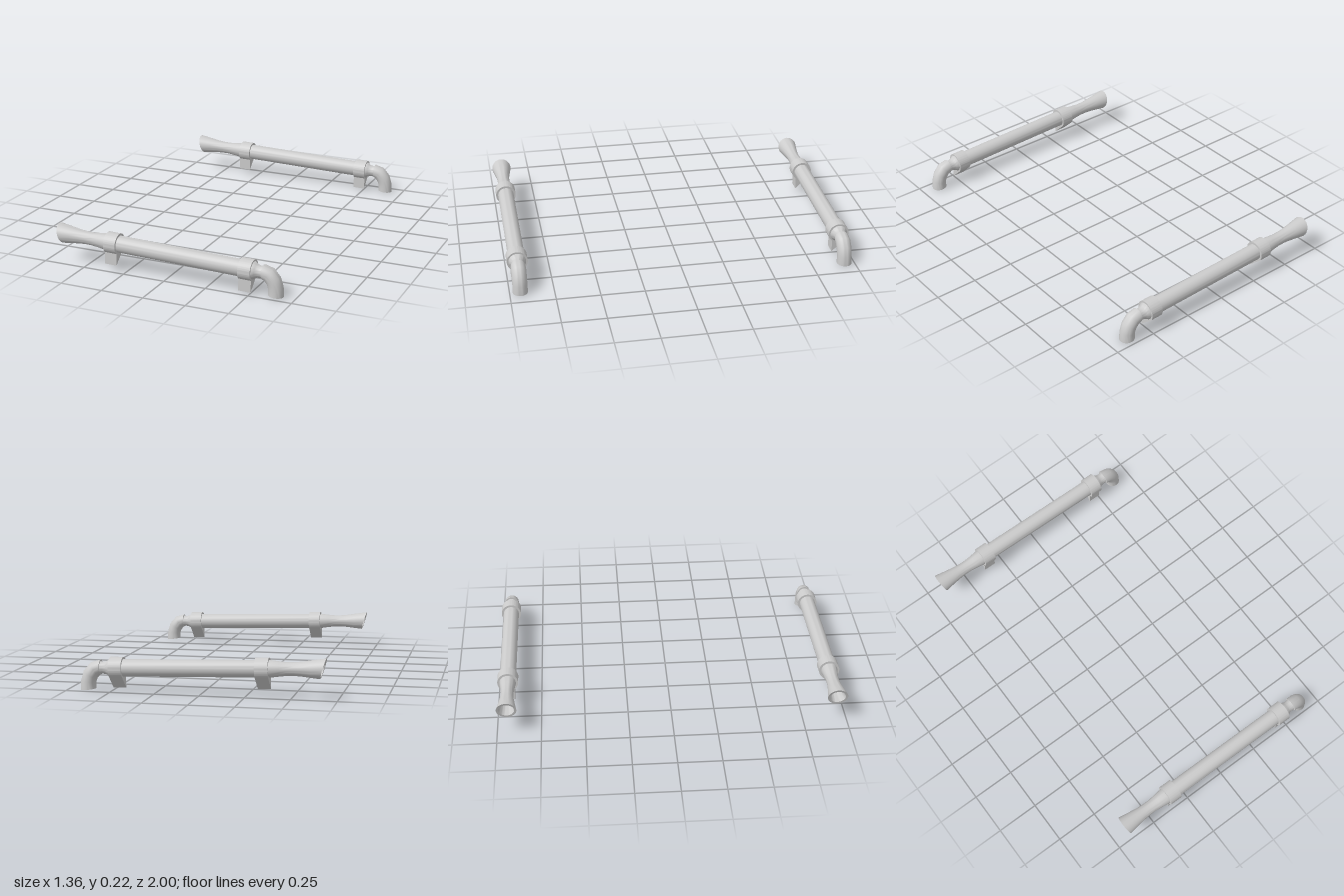
import * as THREE from 'three';
import { toCreasedNormals } from 'three/addons/utils/BufferGeometryUtils.js';

const SIDES = 32;
const TILT = -0.029; // the pipe slopes gently down towards +x
const axisY = (x) => 0.15 + TILT * (x + 0.3);
const material = new THREE.MeshStandardMaterial({ color: 0xcccccc });

// Joins circular cross-sections [x, y, radius, heading angle] into a skin.
function sweep(name, rings) {
  const positions = [];
  const index = [];
  rings.forEach(([x, y, r, a], i) => {
    for (let j = 0; j < SIDES; j++) {
      const t = (j / SIDES) * Math.PI * 2;
      const up = r * Math.cos(t);
      positions.push(x - Math.sin(a) * up, y + Math.cos(a) * up, r * Math.sin(t));
      if (i === rings.length - 1) continue;
      const k = (j + 1) % SIDES;
      const p = i * SIDES + j, q = i * SIDES + k;
      index.push(p, q, p + SIDES, q, q + SIDES, p + SIDES);
    }
  });
  const geometry = new THREE.BufferGeometry();
  geometry.setAttribute('position', new THREE.Float32BufferAttribute(positions, 3));
  geometry.setIndex(index);
  const mesh = new THREE.Mesh(toCreasedNormals(geometry, 0.7), material);
  mesh.name = name;
  return mesh;
}

// Ring square to the sloping pipe axis.
const onAxis = (x, r) => [x, axisY(x), r, TILT];

// Clamp ring running into a square foot.
function bracket(x) {
  const r = 0.06, half = 0.037, length = 0.073;
  const phi = Math.acos(half / r);
  const shape = new THREE.Shape();
  shape.moveTo(half, -0.117);
  shape.absarc(0, 0, r, -phi, Math.PI + phi, false);
  shape.lineTo(-half, -0.117);
  const geometry = new THREE.ExtrudeGeometry(shape, {
    depth: length, bevelEnabled: false, curveSegments: 28,
  });
  geometry.translate(0, 0, -length / 2);
  geometry.rotateY(Math.PI / 2);
  const mesh = new THREE.Mesh(toCreasedNormals(geometry, 0.6), material);
  mesh.name = 'bracket';
  mesh.position.set(x, axisY(x), 0);
  mesh.rotation.z = TILT;
  return mesh;
}

function createPipe() {
  const pipe = new THREE.Group();

  // Flared mouth with a slanted cut, hollow inside
  const cut = 0.275;
  pipe.add(sweep('flaredTip', [
    onAxis(-0.42, 0.001), onAxis(-0.42, 0.028), onAxis(-0.52, 0.028),
    onAxis(-0.58, 0.034), [-0.666, 0.163, 0.045, cut],
    [-0.667, 0.163, 0.058, cut], onAxis(-0.6, 0.047), onAxis(-0.55, 0.04),
    onAxis(-0.51, 0.037), onAxis(-0.47, 0.037), onAxis(-0.43, 0.041),
    onAxis(-0.38, 0.0475), onAxis(-0.33, 0.0475),
  ]));

  pipe.add(sweep('barrel', [onAxis(-0.34, 0.0475), onAxis(0.5, 0.0475)]));

  // Waisted joint between barrel and elbow
  pipe.add(sweep('joint', [
    onAxis(0.495, 0.05), onAxis(0.51, 0.05), onAxis(0.525, 0.04),
    onAxis(0.537, 0.035), onAxis(0.553, 0.033), onAxis(0.575, 0.037),
  ]));

  // Elbow turning down to a thick-walled open end
  pipe.add(sweep('elbow', [
    [0.566, 0.128, 0.001, -0.03], [0.566, 0.128, 0.0415, -0.03],
    [0.598, 0.118, 0.043, -0.6], [0.625, 0.086, 0.043, -1.05],
    [0.637, 0.048, 0.042, -1.4], [0.638, 0.0045, 0.0435, -1.67],
    [0.638, 0.0045, 0.024, -1.67], [0.637, 0.048, 0.024, -1.4],
    [0.637, 0.048, 0.001, -1.4],
  ]));

  pipe.add(bracket(-0.338), bracket(0.473));
  return pipe;
}

export function createModel() {
  const model = new THREE.Group();
  model.name = 'pipePair';
  for (const side of [-1, 1]) {
    const pipe = createPipe();
    pipe.name = side > 0 ? 'frontPipe' : 'backPipe';
    pipe.position.z = side * 0.94;
    model.add(pipe);
  }
  return model;
}
